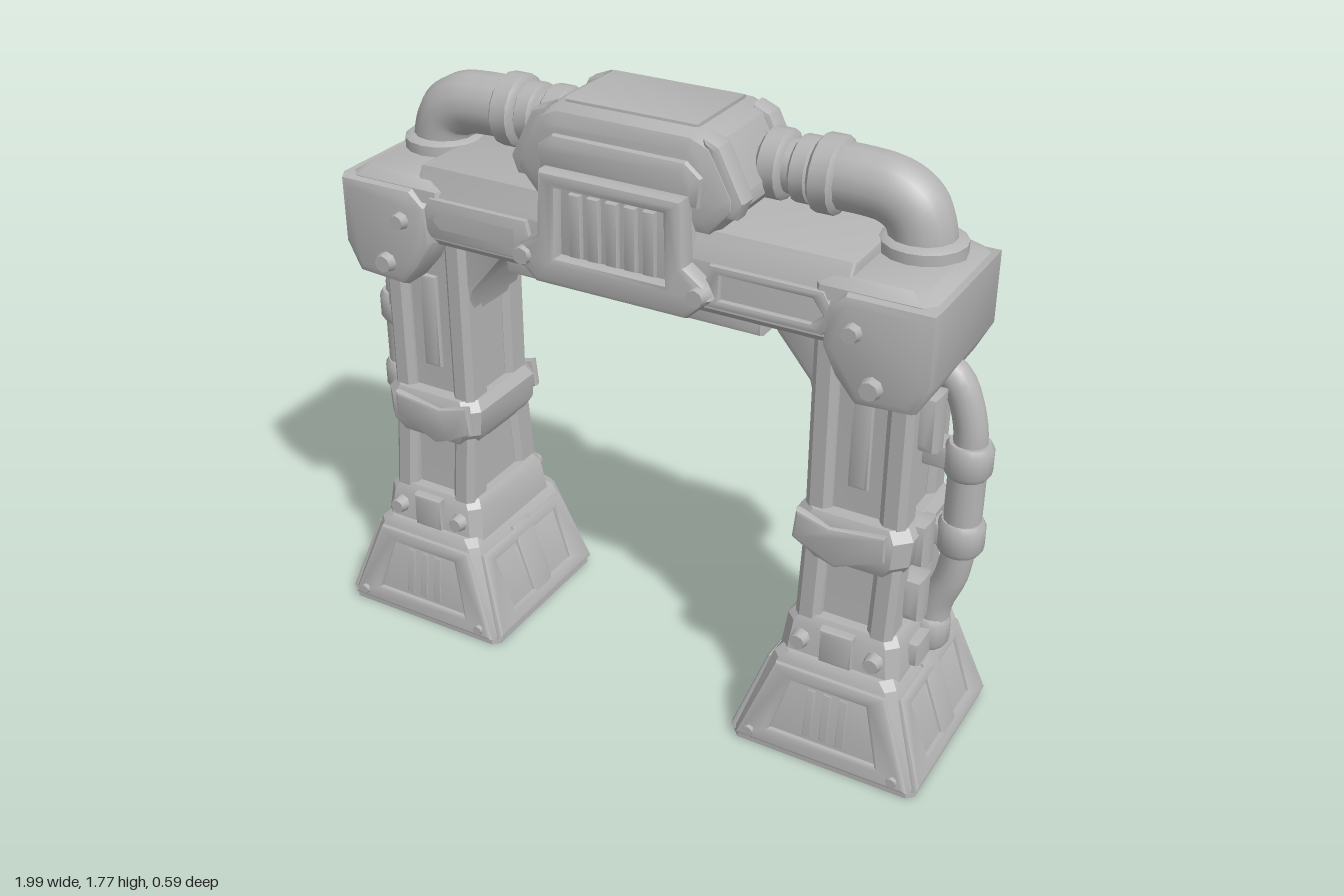
import * as THREE from 'three';
import { toCreasedNormals } from 'three/addons/utils/BufferGeometryUtils.js';

const metal = new THREE.MeshStandardMaterial({ color: 0xb4b4b4 });
metal.name = 'grey metal';

function add(parent, name, geo, x = 0, y = 0, z = 0) {
  const m = new THREE.Mesh(geo, metal);
  m.name = name;
  m.position.set(x, y, z);
  parent.add(m);
  return m;
}

const toShape = pts => new THREE.Shape(pts.map(p => new THREE.Vector2(p[0], p[1])));

// Bevelled plate: xy outline, centred on z
function prism(pts, depth, bevel = 0.01, hole) {
  const shape = toShape(pts);
  if (hole) shape.holes.push(toShape(hole));
  const g = new THREE.ExtrudeGeometry(shape, {
    depth: depth - 2 * bevel, bevelEnabled: true, bevelThickness: bevel,
    bevelSize: bevel, bevelOffset: -bevel, bevelSegments: 2,
  });
  g.translate(0, 0, bevel - depth / 2);
  return toCreasedNormals(g, 0.6);
}

const rect = (w, h) => [[-w / 2, -h / 2], [w / 2, -h / 2], [w / 2, h / 2], [-w / 2, h / 2]];
const block = (w, h, d, b = 0.012) => prism(rect(w, h), d, b);
// Symmetric outline from its right half, listed bottom to top
const symmetric = half => [...half, ...half.map(p => [-p[0], p[1]]).reverse()];

// Upright solid through chamfered rectangles [y, width, depth, chamfer, xShift]
function loft(sections) {
  const rings = sections.map(([y, w, d, c, dx = 0]) => {
    const a = w / 2, b = d / 2;
    return [[a, -b + c], [a, b - c], [a - c, b], [c - a, b], [-a, b - c], [-a, c - b], [c - a, -b], [a - c, -b]]
      .map(([x, z]) => [x + dx, y, z]);
  });
  const pos = [];
  const tri = (...p) => p.forEach(v => pos.push(...v));
  for (let r = 0; r < rings.length - 1; r++) for (let i = 0; i < 8; i++) {
    const j = (i + 1) % 8, lo = rings[r], hi = rings[r + 1];
    tri(lo[i], hi[j], lo[j]);
    tri(lo[i], hi[i], hi[j]);
  }
  const top = rings[rings.length - 1], bottom = rings[0];
  for (let i = 1; i < 7; i++) {
    tri(top[0], top[i + 1], top[i]);
    tri(bottom[0], bottom[i], bottom[i + 1]);
  }
  const g = new THREE.BufferGeometry();
  g.setAttribute('position', new THREE.Float32BufferAttribute(pos, 3));
  return toCreasedNormals(g, 0.5);
}

function bolt(parent, x, y, z, r = 0.03) {
  const g = new THREE.CylinderGeometry(r * 0.75, r, 0.04, 8).rotateX(Math.PI / 2);
  const m = add(parent, 'bolt', toCreasedNormals(g, 0.9), x, y, z);
  if (z < 0) m.rotation.y = Math.PI;
}

function tube(pts, r) {
  const curve = new THREE.CatmullRomCurve3(pts.map(p => new THREE.Vector3(...p)), false, 'centripetal');
  return new THREE.TubeGeometry(curve, 32, r, 14);
}

// Rounded ring around the y axis
function collar(r, h) {
  const pts = [[0, -h / 2], [r * 0.85, -h / 2], [r, -h / 3], [r, h / 3], [r * 0.85, h / 2], [0, h / 2]];
  return toCreasedNormals(new THREE.LatheGeometry(pts.map(p => new THREE.Vector2(...p)), 16), 0.7);
}

// Sloping foot with a slatted frame on every side
function buildFoot(parent, cx) {
  const foot = new THREE.Group();
  foot.name = 'foot';
  foot.position.x = cx;
  parent.add(foot);
  add(foot, 'footBase', loft([[0, 0.56, 0.55, 0.02], [0.03, 0.56, 0.55, 0.02], [0.3, 0.37, 0.47, 0.025], [0.32, 0.33, 0.44, 0.03]]));
  add(foot, 'footCollar', loft([[0.3, 0.36, 0.42, 0.03], [0.41, 0.335, 0.39, 0.03], [0.435, 0.3, 0.36, 0.03]]));
  for (let k = 0; k < 4; k++) {
    const side = new THREE.Group(), front = k % 2 === 0;
    side.rotation.y = k * Math.PI / 2;
    const face = new THREE.Group();
    face.name = 'footPanel';
    face.position.set(0, 0, front ? 0.275 : 0.282);
    face.rotation.x = front ? -0.147 : -0.335;
    side.add(face);
    foot.add(side);
    const t = front ? 0.165 : 0.215;
    add(face, 'footFrame', prism(symmetric([[0.265, 0.02], [t, 0.29]]), 0.035, 0.012, symmetric([[0.16, 0.075], [t - 0.05, 0.245]])));
    for (const x of [-0.05, 0, 0.05]) add(face, 'footSlat', block(0.026, 0.15, 0.016, 0.004), x, 0.16, 0);
    if (!front) add(face, 'footRib', block(0.1, 0.28, 0.035), 0, 0.16, 0);
  }
  for (const z of [-1, 1]) {
    add(foot, 'collarPlate', block(0.1, 0.11, 0.04), 0, 0.37, z * 0.2);
    for (const x of [-0.11, 0.11]) bolt(foot, x, 0.365, z * 0.21);
    for (const x of [-0.22, 0.22]) bolt(foot, x, 0.05, z * 0.275, 0.02);
  }
}

// Column of corner posts around a recessed core
function buildLeg(parent, s) {
  const cx = s * 0.69;
  add(parent, 'legCore', loft([[0.4, 0.25, 0.3, 0.02], [0.75, 0.25, 0.25, 0.02], [1.3, 0.25, 0.25, 0.02]]), cx);
  for (const x of [-1, 1]) for (const z of [-1, 1]) {
    const g = loft([[0.4, 0.075, 0.1, 0.018], [0.72, 0.075, 0.1, 0.018], [1.3, 0.075, 0.1, 0.018]]);
    // posts lean outwards below the band
    const p = g.attributes.position;
    for (let i = 0; i < p.count; i++) if (p.getY(i) < 0.5) p.setZ(i, p.getZ(i) + z * 0.035);
    add(parent, 'legPost', g, cx + x * 0.107, 0, z * 0.103);
  }
  add(parent, 'legBand', loft([[0.62, 0.28, 0.33, 0.04], [0.66, 0.33, 0.36, 0.04], [0.74, 0.34, 0.36, 0.04], [0.77, 0.3, 0.33, 0.04]]), cx);
  for (const z of [-1, 1]) {
    add(parent, 'legBracket', prism([[s * 0.54, 0.77], [s * 0.64, 0.74], [s * 0.8, 0.76], [s * 0.8, 0.68], [s * 0.66, 0.62], [s * 0.6, 0.64], [s * 0.53, 0.68]], 0.03), 0, 0, z * 0.178);
    add(parent, 'legInset', block(0.06, 0.3, 0.03), cx, 1.0, z * 0.125);
  }
  // diagonal brace under the beam
  const brace = [[0.38, 1.31], [0.38, 1.27], [0.43, 1.25], [0.53, 1.13], [0.55, 1.05], [0.6, 1.05], [0.62, 1.31]];
  add(parent, 'brace', prism(brace.map(p => [s * p[0], p[1]]), 0.27, 0.025));
}

// Jointed conduit on the outer side of a leg
function buildConduit(parent, s) {
  const z = -0.035;
  add(parent, 'conduit', tube([[0.82, 1.19, z], [0.88, 1.15, z], [0.925, 1.03, z], [0.93, 0.92, z], [0.93, 0.68, z], [0.915, 0.55, z], [0.88, 0.45, z], [0.87, 0.33, z]].map(p => [s * p[0], p[1], p[2]]), 0.046));
  for (const y of [0.93, 0.69]) {
    add(parent, 'conduitJoint', collar(0.066, 0.1), s * 0.93, y, z);
    add(parent, 'conduitClamp', block(0.12, 0.07, 0.08), s * 0.86, y, z);
  }
  add(parent, 'conduitSleeve', new THREE.CylinderGeometry(0.052, 0.052, 0.2, 14), s * 0.93, 0.81, z);
  add(parent, 'conduitSocket', collar(0.06, 0.1), s * 0.865, 0.36, z);
  add(parent, 'conduitShelf', block(0.12, 0.08, 0.22, 0.02), s * 0.83, 0.35, 0);
  [[1.07, 0.17], [0.7, 0.14], [0.52, 0.14]].forEach(([y, h]) =>
    add(parent, 'sidePod', block(0.09, h, 0.1, 0.03), s * 0.835, y, 0.055));
}

// Heavy end of the beam over a leg
function buildShoulder(parent, s) {
  const outline = [[0.905, 1.455], [0.905, 1.25], [0.86, 1.16], [0.7, 1.15], [0.64, 1.22], [0.6, 1.3], [0.61, 1.41], [0.66, 1.455]];
  add(parent, 'shoulder', prism(outline.map(p => [s * p[0], p[1]]), 0.47, 0.03));
  add(parent, 'shoulderTop', loft([[1.42, 0.34, 0.43, 0.03], [1.455, 0.33, 0.42, 0.03], [1.48, 0.26, 0.36, 0.03]]), s * 0.72);
  for (const z of [-1, 1]) {
    bolt(parent, s * 0.75, 1.22, z * 0.24, 0.035);
    bolt(parent, s * 0.69, 1.36, z * 0.24, 0.03);
    // sloping frame along the beam
    const outer = [[0.25, 1.32], [0.6, 1.32], [0.64, 1.37], [0.6, 1.44], [0.28, 1.44]];
    const inner = [[0.31, 1.345], [0.57, 1.345], [0.6, 1.375], [0.57, 1.415], [0.31, 1.415]];
    add(parent, 'beamFrame', prism(outer.map(p => [s * p[0], p[1]]), 0.03, 0.008, inner.map(p => [s * p[0], p[1]])), 0, 0, z * 0.205);
  }
}

// Elbow pipe from the shoulder to the top housing
function buildPipe(parent, s) {
  const z = -0.065;
  const path = [[0.74, 1.44], [0.74, 1.52], [0.715, 1.585], [0.66, 1.62], [0.58, 1.63], [0.48, 1.63]];
  add(parent, 'elbowPipe', tube(path.map(p => [s * p[0], p[1], z]), 0.09));
  add(parent, 'pipeFlange', collar(0.115, 0.06), s * 0.745, 1.49, z);
  const ring = (name, r, h, x) => { add(parent, name, collar(r, h), s * x, 1.63, z).rotation.z = Math.PI / 2; };
  ring('pipeCollar', 0.105, 0.075, 0.485);
  ring('pipeRing', 0.09, 0.06, 0.42);
  ring('pipeNeck', 0.073, 0.24, 0.36);
  ring('pipeSocket', 0.095, 0.07, 0.335);
}

function buildCentre(parent) {
  // beam runs along x
  const beam = prism(symmetric([[0.17, 1.28], [0.205, 1.31], [0.205, 1.44], [0.165, 1.51]]), 1.32, 0.01);
  add(parent, 'beam', beam.rotateY(Math.PI / 2));
  for (const x of [-0.275, 0, 0.275]) add(parent, 'underPanel', block(0.25, 0.07, 0.3, 0.015), x, 1.265);
  // slatted panel, front and back
  add(parent, 'panelCore', prism(symmetric([[0.19, 1.29], [0.23, 1.36], [0.21, 1.6]]), 0.44, 0.015));
  for (const z of [-1, 1]) {
    add(parent, 'panelFrame', prism(
      symmetric([[0.23, 1.285], [0.3, 1.35], [0.28, 1.39], [0.225, 1.43], [0.215, 1.61]]), 0.07, 0.018,
      symmetric([[0.165, 1.37], [0.16, 1.565]])), 0, 0, z * 0.22);
    for (let i = -2; i <= 2; i++) add(parent, 'panelSlat', block(0.035, 0.18, 0.025, 0.006), i * 0.056, 1.465, z * 0.225);
    for (const x of [-1, 1]) bolt(parent, x * 0.265, 1.36, z * 0.25, 0.033);
  }
  // top housing
  add(parent, 'housing', prism(symmetric([[0.26, 1.49], [0.33, 1.57], [0.33, 1.61], [0.26, 1.74], [0.2, 1.765]]), 0.38, 0.045));
  add(parent, 'housingSkirt', prism(symmetric([[0.24, 1.57], [0.25, 1.66], [0.2, 1.7]]), 0.42, 0.03));
  add(parent, 'housingLid', block(0.4, 0.03, 0.27, 0.012), 0, 1.76);
  for (const x of [-1, 1]) {
    const rib = [[0.25, 1.55], [0.33, 1.55], [0.35, 1.6], [0.28, 1.74], [0.23, 1.76]];
    for (const z of [-0.14, 0.14]) add(parent, 'housingRib', prism(rib.map(p => [x * p[0], p[1]]), 0.07, 0.015), 0, 0, z);
  }
}

export function createModel() {
  const model = new THREE.Group();
  model.name = 'gateway';
  for (const s of [-1, 1]) {
    const side = new THREE.Group();
    side.name = s > 0 ? 'leftSide' : 'rightSide';
    buildFoot(side, s * 0.69);
    [buildLeg, buildConduit, buildShoulder, buildPipe].forEach(build => build(side, s));
    model.add(side);
  }
  buildCentre(model);
  return model;
}
